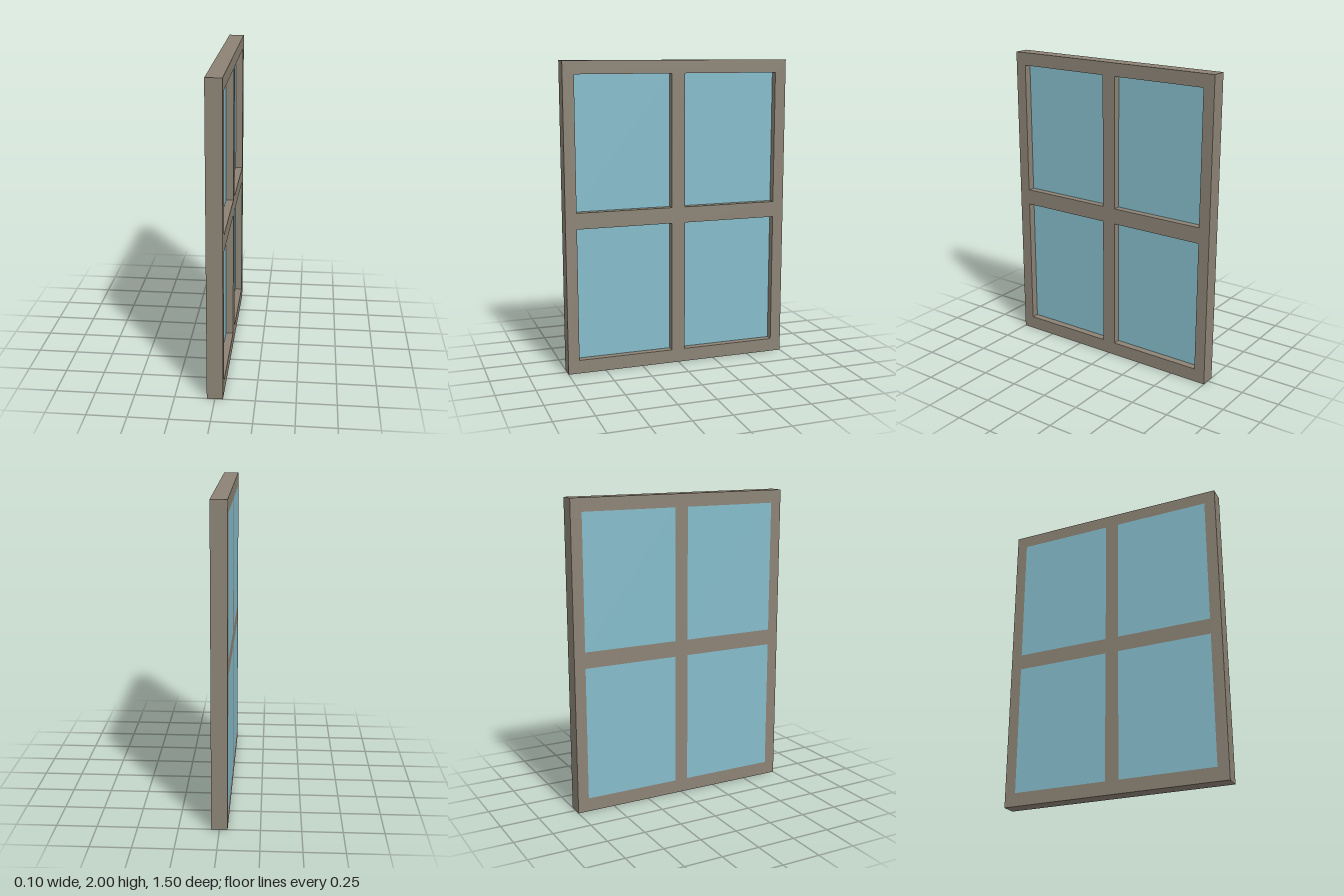
import * as THREE from 'three';

const DEPTH = 0.1, GLASS_DEPTH = 0.052;
const PANE_W = 0.632, PANE_H = 0.862;
const PANE_Z = 0.361;           // pane centres, either side of the mullion
const PANE_Y = [0.519, 1.485];  // lower and upper pane centres

export function createModel() {
  const group = new THREE.Group();
  group.name = 'window';
  const frameMaterial = new THREE.MeshStandardMaterial({ color: 0x8c8375 });
  const glassMaterial = new THREE.MeshStandardMaterial({ color: 0x85bccb });

  const rectangle = (path, u, v, w, h) => path
    .moveTo(u - w / 2, v - h / 2).lineTo(u + w / 2, v - h / 2)
    .lineTo(u + w / 2, v + h / 2).lineTo(u - w / 2, v + h / 2).closePath();

  const outline = rectangle(new THREE.Shape(), 0, 1, 1.5, 2);

  for (const [row, y] of PANE_Y.entries()) {
    for (const side of [-1, 1]) {
      // opening in the frame
      outline.holes.push(rectangle(new THREE.Path(), side * PANE_Z, y, PANE_W, PANE_H));

      // glass, flush with the -x face and recessed on the +x face
      const pane = new THREE.Mesh(new THREE.BoxGeometry(GLASS_DEPTH, PANE_H, PANE_W), glassMaterial);
      pane.name = `${row ? 'upper' : 'lower'}${side > 0 ? 'Front' : 'Back'}Pane`;
      pane.position.set(-DEPTH / 2 + GLASS_DEPTH / 2, y, side * PANE_Z);
      group.add(pane);
    }
  }

  // frame with crossbars, extruded and turned to face along x
  const frameGeometry = new THREE.ExtrudeGeometry(outline, { depth: DEPTH, bevelEnabled: false });
  frameGeometry.translate(0, 0, -DEPTH / 2).rotateY(Math.PI / 2);
  const frame = new THREE.Mesh(frameGeometry, frameMaterial);
  frame.name = 'frame';
  group.add(frame);

  return group;
}
